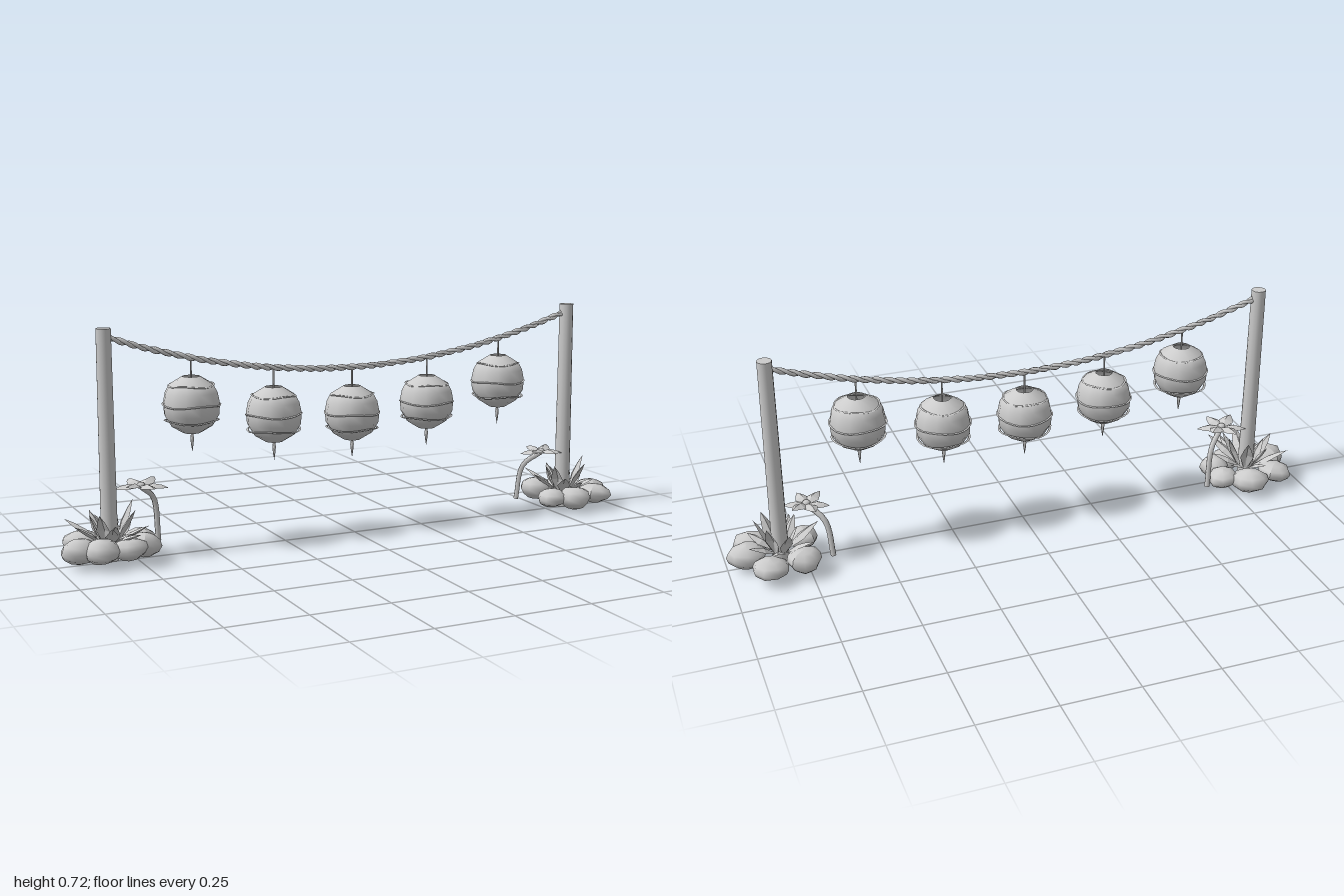
import * as THREE from 'three';

const Z = -0.02; // depth line shared by posts, rope and lanterns
const mat = new THREE.MeshStandardMaterial({ color: 0xcccccc });
const thin = new THREE.MeshStandardMaterial({ color: 0xcccccc, side: THREE.DoubleSide });
const leafMat = new THREE.MeshStandardMaterial({ color: 0xcccccc, side: THREE.DoubleSide, flatShading: true });

function add(parent, name, geometry, material = mat, x = 0, y = 0, z = 0) {
  const m = new THREE.Mesh(geometry, material);
  m.name = name;
  m.position.set(x, y, z);
  parent.add(m);
  return m;
}

const ropeY = (x) => 0.55 + 0.14 * (x / 0.815) ** 2;

// One helical strand following the sagging rope line
class Strand extends THREE.Curve {
  constructor(phase) { super(); this.phase = phase; }
  getPoint(t, target = new THREE.Vector3()) {
    const x = -0.815 + 1.63 * t, a = t * Math.PI * 44 + this.phase;
    return target.set(x, ropeY(x) + 0.005 * Math.cos(a), Z + 0.005 * Math.sin(a));
  }
}

// Pointed blade along +y, folded along its midrib and bulging in +z
function blade(length, width, fold) {
  const rows = [[0, 0.3], [0.45, 1], [0.75, 0.6], [1, 0]];
  const pos = [], idx = [];
  rows.forEach(([t, w]) => {
    const bow = fold * Math.sin(t * Math.PI);
    pos.push(-w * width / 2, t * length, 0, 0, t * length, bow, w * width / 2, t * length, 0);
  });
  for (let r = 0; r < rows.length - 1; r++) {
    for (let c = 0; c < 2; c++) {
      const a = r * 3 + c;
      idx.push(a, a + 1, a + 4, a, a + 4, a + 3);
    }
  }
  const g = new THREE.BufferGeometry();
  g.setAttribute('position', new THREE.Float32BufferAttribute(pos, 3));
  g.setIndex(idx);
  g.computeVertexNormals();
  return g;
}

// Slightly lumpy low-poly stone
function stoneGeometry(seed) {
  const g = new THREE.SphereGeometry(1, 8, 6), p = g.attributes.position;
  for (let i = 0; i < p.count; i++) {
    const x = p.getX(i), y = p.getY(i), z = p.getZ(i);
    const s = 1 + 0.08 * Math.sin(3 * x + 2 * z + seed) * Math.cos(2 * y + seed);
    p.setXYZ(i, x * s, y * s, z * s);
  }
  g.computeVertexNormals();
  return g;
}

function makeLantern(x, top) {
  const g = new THREE.Group();
  g.name = 'lantern';
  g.position.set(x, top, Z);
  // Paper body, open at both ends
  const profile = [[0.028, -0.178], [0.066, -0.155], [0.087, -0.12], [0.09, -0.085],
    [0.083, -0.05], [0.07, -0.026], [0.028, 0]];
  add(g, 'lanternBody', new THREE.LatheGeometry(profile.map(([r, y]) => new THREE.Vector2(r, y)), 12), thin);
  // Thin uneven ribs
  [[0.07, -0.028], [0.089, -0.088], [0.084, -0.138]].forEach(([r, y], k) => {
    const rib = new THREE.TorusGeometry(r, 0.004, 4, 24).rotateX(Math.PI / 2), p = rib.attributes.position;
    for (let i = 0; i < p.count; i++) {
      const a = Math.atan2(p.getZ(i), p.getX(i));
      p.setY(i, p.getY(i) * 0.6 + 0.003 * Math.sin(3 * a + k * 2 + x * 9));
    }
    rib.computeVertexNormals();
    add(g, 'lanternRib', rib, mat, 0, y);
  });
  // Hanging string and tassel
  const drop = ropeY(x) - top + 0.015;
  add(g, 'hangingString', new THREE.CylinderGeometry(0.003, 0.003, drop, 5), mat, 0, drop / 2 - 0.015);
  const tassel = [[0, -0.24], [0.004, -0.215], [0.006, -0.195], [0.003, -0.18], [0.003, -0.165], [0, -0.165]];
  add(g, 'tassel', new THREE.LatheGeometry(tassel.map(([r, y]) => new THREE.Vector2(r, y)), 6));
  return g;
}

// Six-petalled flower on a curved stem
function makeFlower(head, foot, radius) {
  const g = new THREE.Group();
  g.name = 'flower';
  const mid = new THREE.Vector3(foot.x * 0.75 + head.x * 0.25, head.y - 0.05, foot.z * 0.7 + head.z * 0.3);
  const stem = new THREE.CatmullRomCurve3([foot, mid, head]);
  add(g, 'stem', new THREE.TubeGeometry(stem, 10, 0.009, 6));
  const bloom = new THREE.Group();
  bloom.name = 'bloom';
  bloom.position.copy(head);
  g.add(bloom);
  for (let i = 0; i < 6; i++) {
    const petal = add(bloom, 'petal', blade(radius, radius * 0.6, -0.012), leafMat);
    petal.rotation.set(1.5 + 0.15 * Math.sin(i * 2), i * Math.PI / 3 + 0.2, 0, 'YXZ');
  }
  add(bloom, 'flowerCentre', new THREE.SphereGeometry(0.014, 8, 5).scale(1, 0.8, 1), mat, 0, 0.004);
  return g;
}

// Stones, leaves and a flower around the foot of one post
function makePlanting(px, stones, leaves, flower) {
  const g = new THREE.Group();
  g.name = 'planting';
  stones.forEach(([x, z, w, l], i) => {
    const s = add(g, 'stone', stoneGeometry(i * 1.7 + px), mat, x, 0.05 + 0.004 * Math.sin(i * 2), z);
    s.scale.set(w, 0.036 + 0.004 * Math.cos(i * 3), l);
    s.rotation.y = Math.atan2(x - px, z - Z);
    s.rotation.order = 'YXZ';
    s.rotation.x = 0.1 * Math.sin(i * 2.3);
  });
  leaves.forEach(([yaw, tilt, length]) => {
    const leaf = add(g, 'leaf', blade(length, 0.045, -0.01), leafMat,
      px + 0.025 * Math.sin(yaw), 0.055, Z + 0.025 * Math.cos(yaw));
    leaf.rotation.set(tilt, yaw, 0, 'YXZ');
  });
  g.add(flower);
  return g;
}

// Leaf fan: alternating steep and spread blades over a full turn
function leafFan(count, start, lengthScale) {
  return Array.from({ length: count }, (_, i) => [
    start + i * Math.PI * 2 / count,
    i % 2 ? 0.45 + 0.1 * Math.sin(i * 2) : 0.95 + 0.15 * Math.cos(i * 3),
    lengthScale * (0.115 + 0.018 * Math.sin(i * 2.6)),
  ]);
}

export function createModel() {
  const model = new THREE.Group();
  model.name = 'lanternGarland';

  // Posts
  for (const x of [-0.83, 0.83]) {
    add(model, 'post', new THREE.CylinderGeometry(0.0235, 0.027, 0.72, 12), mat, x, 0.36, Z);
  }

  // Twisted rope
  for (const phase of [0, Math.PI]) {
    add(model, 'ropeStrand', new THREE.TubeGeometry(new Strand(phase), 260, 0.0065, 5));
  }

  // Lanterns
  [[-0.555, 0.557], [-0.278, 0.505], [0, 0.489], [0.278, 0.505], [0.555, 0.557]]
    .forEach(([x, top]) => model.add(makeLantern(x, top)));

  // Plantings: stones are [x, z, half width, half length]
  const V = (x, y, z) => new THREE.Vector3(x, y, z);
  model.add(makePlanting(-0.83,
    [[-0.935, 0.02, 0.055, 0.065], [-0.905, -0.09, 0.055, 0.06], [-0.8, -0.112, 0.065, 0.06],
      [-0.72, -0.065, 0.05, 0.055], [-0.88, 0.065, 0.055, 0.058], [-0.79, 0.055, 0.065, 0.05],
      [-0.73, 0.02, 0.05, 0.05]],
    [...leafFan(13, 0.3, 1.05), [0.25, 1.2, 0.17], [-0.15, 0.95, 0.15], [0.6, 1.05, 0.15]],
    makeFlower(V(-0.725, 0.222, -0.02), V(-0.655, 0.03, -0.075), 0.085)));
  model.add(makePlanting(0.83,
    [[0.937, -0.01, 0.053, 0.065], [0.91, 0.06, 0.055, 0.06], [0.82, 0.075, 0.06, 0.055],
      [0.745, 0.045, 0.05, 0.055], [0.77, -0.1, 0.058, 0.055], [0.88, -0.105, 0.06, 0.06]],
    leafFan(13, 0, 1),
    makeFlower(V(0.735, 0.202, -0.015), V(0.67, 0.03, -0.07), 0.075)));

  return model;
}
